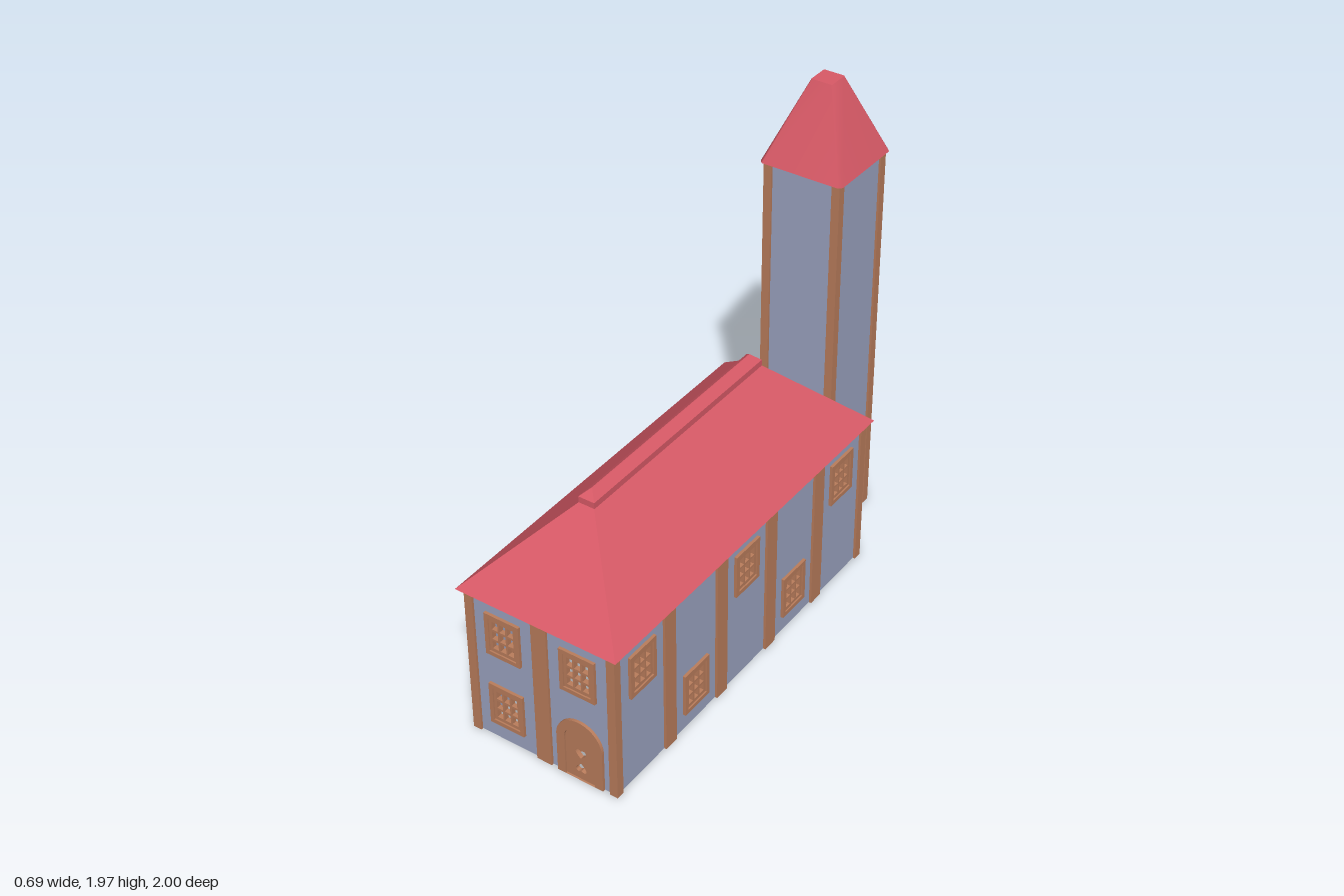
import * as THREE from 'three';

const mat = (name, color, side = THREE.FrontSide) => {
  const m = new THREE.MeshStandardMaterial({ color, side });
  m.name = name;
  return m;
};

export function createModel() {
  const plaster = mat('blue plaster', 0x9ba3c0);
  const wood = mat('brown wood', 0xba7d5c);
  const tile = mat('red tile', 0xd95a67);
  const model = new THREE.Group();
  model.name = 'houseWithTower';

  const add = (parent, name, geo, material, x = 0, y = 0, z = 0) => {
    const m = new THREE.Mesh(geo, material);
    m.name = name;
    m.position.set(x, y, z);
    parent.add(m);
    return m;
  };
  const box = (parent, name, material, w, h, d, x, y, z) =>
    add(parent, name, new THREE.BoxGeometry(w, h, d), material, x, y, z);
  const trace = (path, pts) => {
    pts.forEach(([x, y], i) => (i ? path.lineTo(x, y) : path.moveTo(x, y)));
    path.closePath();
    return path;
  };
  const rect = (path, cx, cy, w, h) => trace(path, [
    [cx - w / 2, cy - h / 2], [cx + w / 2, cy - h / 2],
    [cx + w / 2, cy + h / 2], [cx - w / 2, cy + h / 2]]);
  const extrude = (shape, depth) =>
    new THREE.ExtrudeGeometry(shape, { depth, bevelEnabled: false, curveSegments: 16 });
  // round-topped outline standing on the ground
  const arch = (path, cx, r, h) => {
    path.moveTo(cx - r, 0);
    path.lineTo(cx + r, 0);
    path.lineTo(cx + r, h - r);
    path.absarc(cx, h - r, r, 0, Math.PI, false);
    path.closePath();
    return path;
  };
  const heart = (cx, cy, s) => {
    const p = new THREE.Path();
    p.moveTo(cx, cy - s);
    p.bezierCurveTo(cx + s * 1.6, cy + s * 0.1, cx + s, cy + s * 1.3, cx, cy + s * 0.5);
    p.bezierCurveTo(cx - s, cy + s * 1.3, cx - s * 1.6, cy + s * 0.1, cx, cy - s);
    return p;
  };

  // window: raised frame plus a sash with 3 x 3 open panes
  const SASH_W = 0.118, SASH_H = 0.152;
  const frameShape = rect(new THREE.Shape(), 0, 0, 0.152, 0.187);
  frameShape.holes.push(rect(new THREE.Path(), 0, 0, SASH_W, SASH_H));
  const sashShape = rect(new THREE.Shape(), 0, 0, SASH_W, SASH_H);
  for (let i = -1; i <= 1; i++)
    for (let j = -1; j <= 1; j++)
      sashShape.holes.push(rect(new THREE.Path(), i * 0.034, j * 0.044, 0.026, 0.035));
  const frameGeo = extrude(frameShape, 0.033);
  const sashGeo = extrude(sashShape, 0.02);
  const addWindow = (parent, x, y) => {
    const g = new THREE.Group();
    g.name = 'window';
    g.position.set(x, y, 0);
    add(g, 'windowFrame', frameGeo, wood, 0, 0, -0.021);
    add(g, 'windowSash', sashGeo, wood, 0, 0, -0.014);
    parent.add(g);
  };

  // wall whose outer face is local z = 0, pierced by its windows and door
  const H = 0.652, LOW = 0.165, HIGH = 0.495, BAY = 0.326;
  const addWall = (name, width, height, windows, posts, x, z, turn, doorX) => {
    const g = new THREE.Group();
    g.name = name;
    g.position.set(x, 0, z);
    g.rotation.y = turn;
    const shape = new THREE.Shape();
    if (doorX === undefined) rect(shape, 0, height / 2, width, height);
    else { // outline stepping round the doorway
      shape.moveTo(-width / 2, 0);
      shape.lineTo(doorX - 0.065, 0);
      shape.lineTo(doorX - 0.065, 0.18);
      shape.absarc(doorX, 0.18, 0.065, Math.PI, 0, true);
      shape.lineTo(doorX + 0.065, 0);
      shape.lineTo(width / 2, 0);
      shape.lineTo(width / 2, height);
      shape.lineTo(-width / 2, height);
      shape.closePath();
    }
    for (const [wx, wy] of windows) {
      shape.holes.push(rect(new THREE.Path(), wx, wy, SASH_W, SASH_H));
      addWindow(g, wx, wy);
    }
    add(g, 'plasterPanel', extrude(shape, 0.012), plaster, 0, 0, -0.012);
    for (const p of posts) box(g, 'post', wood, 0.066, height, 0.024, p, height / 2, -0.002);
    model.add(g);
    return g;
  };

  // house walls
  const CZ = 0.16, Q = Math.PI / 2;
  const sidePosts = [-1.5, -0.5, 0.5, 1.5].map((k) => k * BAY);
  const bays = (startHigh) => [0, 1, 2, 3, 4].map((i) =>
    [(i - 2) * BAY, (i % 2 === 0) === startHigh ? HIGH : LOW]);
  addWall('leftWall', 1.62, H, bays(true), sidePosts, 0.315, CZ, Q);
  addWall('rightWall', 1.62, H, bays(false), sidePosts, -0.315, CZ, -Q);
  const DOOR = 0.162;
  const front = addWall('frontWall', 0.63, H,
    [[-0.163, HIGH], [0.163, HIGH], [-0.163, LOW]], [0], 0, 0.97, 0, DOOR);
  addWall('backWall', 0.63, H, [[-0.163, HIGH], [0.163, HIGH]], [0], 0, -0.65, Math.PI);
  for (const sx of [-1, 1])
    for (const z of [0.9625, -0.6425])
      box(model, 'cornerPost', wood, 0.035, H, 0.035, sx * 0.3075, H / 2, z);

  // arched door with two heart cut-outs
  const doorFrame = arch(new THREE.Shape(), DOOR, 0.1, 0.278);
  doorFrame.holes.push(arch(new THREE.Path(), DOOR, 0.065, 0.245));
  add(front, 'doorFrame', extrude(doorFrame, 0.033), wood, 0, 0, -0.021);
  const leaf = arch(new THREE.Shape(), DOOR, 0.065, 0.245);
  leaf.holes.push(heart(DOOR, 0.122, 0.023), heart(DOOR, 0.05, -0.023));
  add(front, 'doorLeaf', extrude(leaf, 0.018), wood, 0, 0, -0.014);

  // tower walls and corner posts
  const TZ = -0.8225, TH = 1.642;
  for (let i = 0; i < 4; i++) {
    const a = i * Q;
    addWall('towerWall', 0.31, TH, [], [], Math.sin(a) * 0.155, TZ + Math.cos(a) * 0.155, a);
    box(model, 'towerPost', wood, 0.034, TH, 0.034,
      (i & 1 ? 1 : -1) * 0.147, TH / 2, TZ + (i & 2 ? 1 : -1) * 0.147);
  }

  // solid from stacked rings running anticlockwise as seen from above
  const loft = (rings, smooth) => {
    const n = rings[0].length, idx = [];
    for (let r = 0; r < rings.length - 1; r++)
      for (let i = 0; i < n; i++) {
        const a = r * n + i, b = r * n + (i + 1) % n;
        idx.push(a, b, b + n, a, b + n, a + n);
      }
    const caps = [];
    const top = (rings.length - 1) * n;
    for (let i = 1; i < n - 1; i++)
      caps.push(0, i + 1, i, top, top + i, top + i + 1);
    const geo = new THREE.BufferGeometry();
    const pts = rings.flat();
    const base = pts.length;
    // caps use their own copy of the points so their edges stay sharp
    geo.setAttribute('position', new THREE.Float32BufferAttribute([...pts, ...pts].flat(), 3));
    geo.setIndex([...idx, ...caps.map((k) => k + base)]);
    const out = smooth ? geo : geo.toNonIndexed();
    out.computeVertexNormals();
    return out;
  };
  const ring = (hx, y, z1, z0) => [[-hx, y, z1], [hx, y, z1], [hx, y, z0], [-hx, y, z0]];

  // hipped house roof and ridge capping
  add(model, 'houseRoof', loft([
    ring(0.335, 0.646, 0.99, -0.67), ring(0.346, 0.657, 1, -0.682),
    ring(0.033, 0.975, 0.683, -0.362)]), tile);
  add(model, 'ridgeCap', loft([
    ring(0.034, 0.97, 0.683, -0.362), ring(0.034, 1.0, 0.683, -0.362),
    ring(0.002, 1.03, 0.65, -0.33)]), tile);

  // tapered tower roof with clipped corners and a flat top
  const clipped = (h, c, y) => [
    [-h + c, y, h], [h - c, y, h], [h, y, h - c], [h, y, -h + c],
    [h - c, y, -h], [-h + c, y, -h], [-h, y, -h + c], [-h, y, h - c]];
  add(model, 'towerRoof', loft([
    clipped(0.1775, 0.014, 1.64), clipped(0.044, 0.003, 1.965)], true), tile, 0, 0, TZ);

  return model;
}
